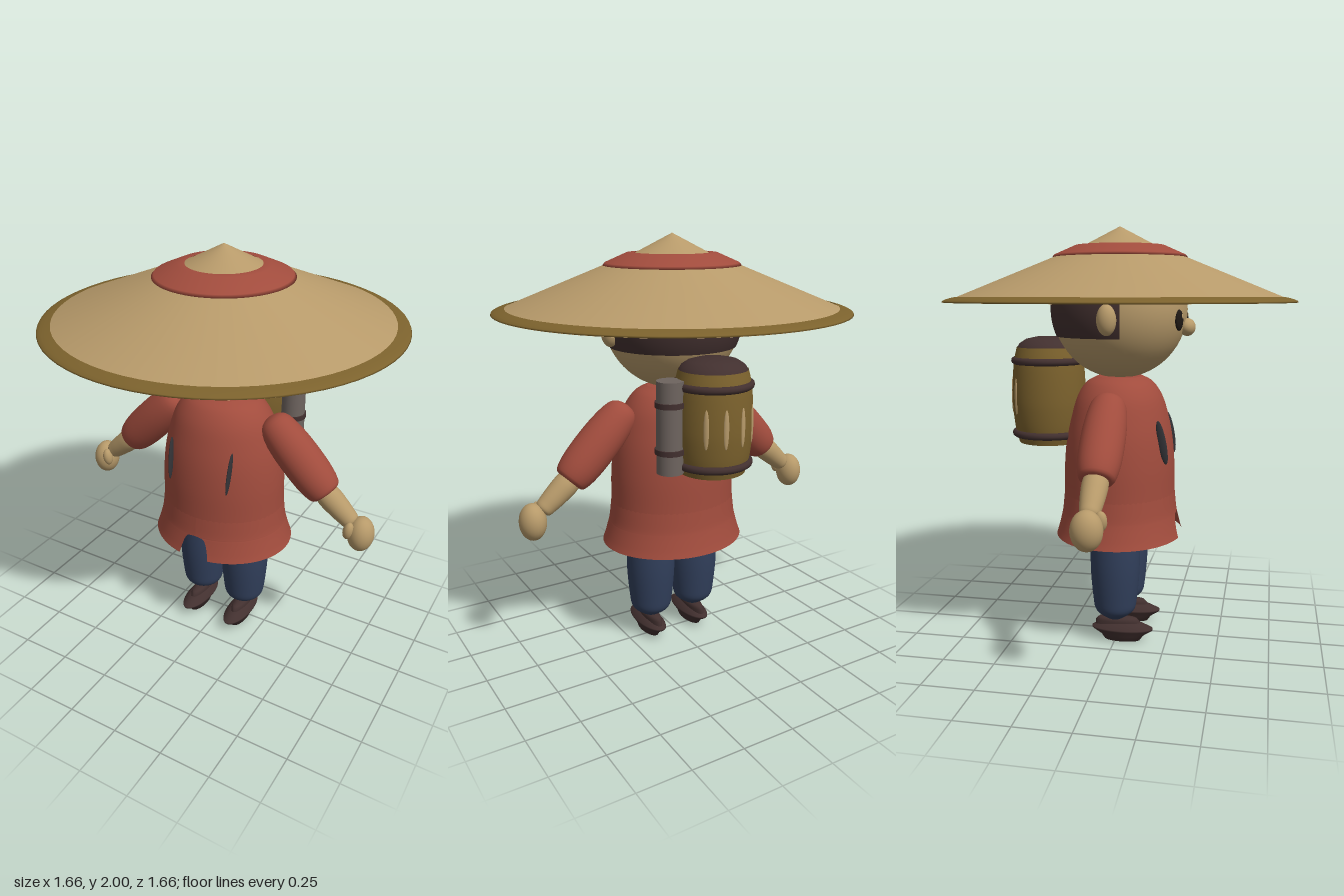
import * as THREE from 'three';

const mat = (name, color, double) => {
  const m = new THREE.MeshStandardMaterial({ color });
  m.name = name;
  if (double) m.side = THREE.DoubleSide;
  return m;
};

export function createModel() {
  const root = new THREE.Group();
  root.name = 'strawHatTraveller';
  const tan = mat('tan', 0xb79a6a, true);
  const red = mat('clothRed', 0xa14c3d, true);
  const navy = mat('navy', 0x313f5b);
  const brown = mat('darkBrown', 0x42302f, true);
  const olive = mat('barrelWood', 0x7c622d, true);
  const gray = mat('gray', 0x6e645f);
  const slate = mat('slate', 0x333337);
  const black = mat('black', 0x1e1814);

  const add = (name, geo, material, x = 0, y = 0, z = 0, parent = root) => {
    const m = new THREE.Mesh(geo, material);
    m.name = name;
    m.position.set(x, y, z);
    parent.add(m);
    return m;
  };
  const pts = (list) => list.map(([r, y]) => new THREE.Vector2(r, y));
  const lathe = (list, seg = 48) => new THREE.LatheGeometry(pts(list), seg);
  const curved = (list, n = 24, seg = 48) =>
    new THREE.LatheGeometry(new THREE.SplineCurve(pts(list)).getPoints(n), seg);
  const blob = (rx, ry, rz, seg = 24) =>
    new THREE.SphereGeometry(1, seg, Math.round(seg * 0.7)).scale(rx, ry, rz);
  // Turned limb whose profile starts at a and points towards b
  const limb = (name, profile, material, a, b) => {
    const m = add(name, curved(profile, 24, 28), material, ...a);
    const dir = new THREE.Vector3(...b).sub(m.position).normalize();
    m.quaternion.setFromUnitVectors(new THREE.Vector3(0, 1, 0), dir);
  };

  // Conical hat with a closed underside, a cloth band and a darker rim
  add('hatCone', lathe([[0.823, 1.65], [0.32, 1.855], [0.17, 1.912], [0, 2]], 64), tan);
  add('hatUnderside', lathe([[0, 1.653], [0.826, 1.649]], 64), tan);
  add('hatBand', lathe([[0.3, 1.858], [0.319, 1.858], [0.308, 1.87], [0.21, 1.913], [0.172, 1.914]], 64), red);
  add('hatRim', lathe([[0.823, 1.649], [0.83, 1.651], [0.827, 1.657], [0.812, 1.664], [0.79, 1.67], [0.768, 1.675]], 64), olive);

  // Head, hair and face
  add('head', blob(0.322, 0.326, 0.322, 48), tan, 0, 1.617, 0);
  const gap = 0.18; // hair reaches slightly in front of the ears
  add('hair', new THREE.SphereGeometry(0.33, 48, 24, Math.PI - gap, Math.PI + 2 * gap, 0.3, 1.676),
    brown, 0, 1.62, 0);
  add('nose', blob(0.05, 0.042, 0.04), tan, 0, 1.535, 0.322);
  for (const s of [-1, 1]) {
    add('ear', blob(0.042, 0.07, 0.045), tan, s * 0.324, 1.575, 0);
    add('eye', blob(0.029, 0.048, 0.014), black, s * 0.125, 1.57, 0.298).rotation.y = s * 0.4;
    add('eyeGlint', blob(0.008, 0.012, 0.004, 10), tan, s * 0.125 + 0.006, 1.586, 0.311);
  }

  // Robe: closed upper part, then a flared skirt split at the front
  const depth = 0.87;
  add('robe', curved([[0.313, 0.63], [0.31, 0.75], [0.307, 0.88], [0.295, 1.0], [0.273, 1.1],
    [0.238, 1.2], [0.185, 1.27], [0.125, 1.3]], 32, 64).scale(1, 1, depth), red);
  add('robeNeck', lathe([[0.125, 1.3], [0, 1.305]], 64).scale(1, 1, depth), red);
  const skirt = curved([[0.356, 0.526], [0.344, 0.56], [0.327, 0.62], [0.319, 0.66], [0.31, 0.74]], 36, 72);
  const p = skirt.attributes.position, uv = skirt.attributes.uv;
  for (let i = 0; i < p.count; i++) {
    const y = p.getY(i), r = Math.hypot(p.getX(i), p.getZ(i));
    const t = THREE.MathUtils.clamp((0.635 - y) / 0.105, 0, 1);
    const open = 0.225 * Math.pow(t, 0.18);
    const a = open + uv.getX(i) * 2 * (Math.PI - open);
    p.setXYZ(i, r * Math.sin(a), y, r * Math.cos(a) * depth);
  }
  skirt.computeVertexNormals();
  add('robeSkirt', skirt, red);
  for (const s of [-1, 1]) {
    add('robeSlit', blob(0.007, 0.106, 0.02, 16), slate, s * 0.159, 1.005, 0.229)
      .rotation.set(-0.19, 0, s * -0.04);
  }

  // Trousers, shoes and arms
  add('hips', blob(0.25, 0.15, 0.2, 32), navy, 0, 0.655, 0);
  for (const s of [-1, 1]) {
    add('trouserLeg', curved([[0.03, 0.112], [0.058, 0.13], [0.096, 0.165], [0.108, 0.23], [0.119, 0.36],
      [0.119, 0.48], [0.11, 0.6], [0.08, 0.66]], 30, 40), navy, s * 0.125, 0, 0);
    add('shoeSole', lathe([[0, 0], [0.58, 0.004], [0.7, 0.03], [1, 0.06], [1, 0.068], [0.7, 0.088],
      [0.4, 0.1], [0, 0.105]], 32).scale(0.063, 1, 0.152), brown, s * 0.125, 0, 0.035);
    add('shoeUpper', lathe([[1, 0.06], [1, 0.1], [0.85, 0.116], [0.4, 0.124], [0, 0.125]], 28)
      .scale(0.036, 1, 0.11), brown, s * 0.125, 0, 0.012);

    limb('sleeve', [[0, -0.035], [0.05, -0.022], [0.08, 0.015], [0.095, 0.1], [0.1, 0.2], [0.097, 0.31],
      [0.086, 0.38], [0.066, 0.41], [0, 0.415]], red, [s * 0.265, 1.2, 0], [s * 0.555, 0.9, 0]);
    limb('forearm', [[0.05, -0.04], [0.058, 0.02], [0.055, 0.08], [0.048, 0.14], [0.038, 0.18], [0, 0.19]],
      tan, [s * 0.55, 0.905, 0], [s * 0.69, 0.785, 0]);
    add('hand', blob(0.063, 0.088, 0.07), tan, s * 0.735, 0.74, 0);
    add('thumb', blob(0.025, 0.045, 0.028, 16), tan, s * 0.69, 0.77, 0.05).rotation.z = s * -0.15;
  }

  // Barrel carried on the back
  const barrel = new THREE.Group();
  barrel.name = 'barrel';
  barrel.position.z = -0.355;
  root.add(barrel);
  const inBarrel = (name, geo, material, x = 0, y = 0, z = 0) => add(name, geo, material, x, y, z, barrel);
  inBarrel('barrelBody', curved([[0.15, 0.968], [0.168, 1.04], [0.178, 1.13], [0.18, 1.2],
    [0.177, 1.29], [0.17, 1.37], [0.155, 1.435]], 24, 40), olive);
  inBarrel('barrelBottom', new THREE.CircleGeometry(0.15, 40).rotateX(Math.PI / 2), olive, 0, 0.968, 0);
  inBarrel('barrelLid', lathe([[0.155, 1.43], [0.142, 1.452], [0.11, 1.473], [0.06, 1.484], [0, 1.487]], 40), brown);
  for (const y of [1.015, 1.37]) {
    inBarrel('barrelHoop', new THREE.TorusGeometry(0.166, 0.018, 10, 48).rotateX(Math.PI / 2), brown, 0, y, 0);
  }
  // Pale wood marks around the outer side
  for (const i of [-1.5, -0.5, 0.5, 1.5]) {
    const a = Math.PI + i * 0.49;
    inBarrel('woodMark', blob(0.013, 0.09, 0.007, 12), tan, 0.178 * Math.sin(a), 1.2, 0.178 * Math.cos(a))
      .rotation.y = a;
  }

  // Scroll tube beside the barrel
  const tube = new THREE.Group();
  tube.name = 'scrollTube';
  tube.position.set(0.208, 1.192, -0.335);
  root.add(tube);
  add('tubeBody', new THREE.CylinderGeometry(0.061, 0.061, 0.415, 28), gray, 0, 0, 0, tube);
  for (const y of [-0.106, 0.104]) {
    add('tubeBand', new THREE.CylinderGeometry(0.068, 0.068, 0.024, 28), brown, 0, y, 0, tube);
  }
  return root;
}
